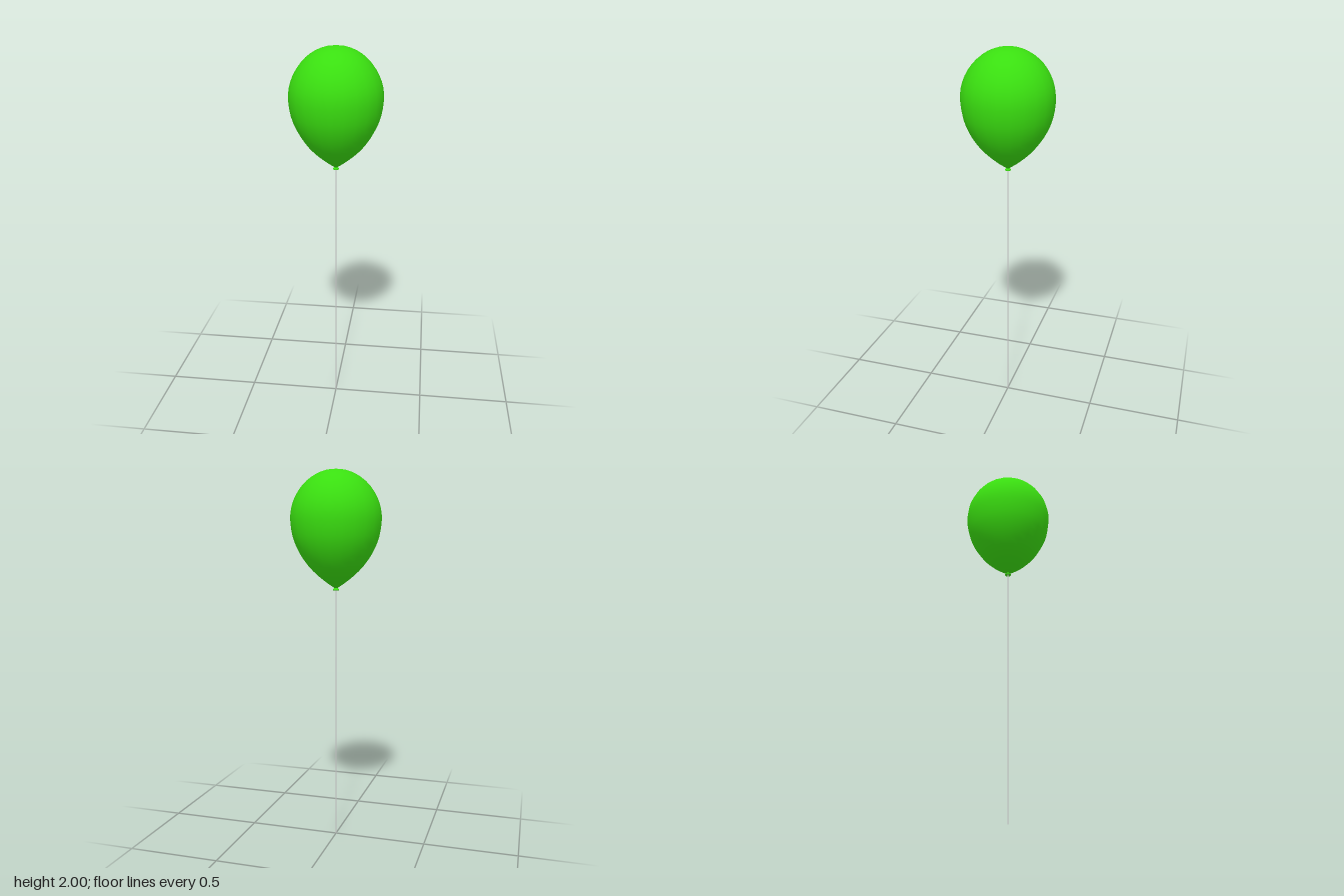
import * as THREE from 'three';

const SIDES = 23;

// Lathe a smooth curve through [radius, height] points, listed bottom to top
function turned(name, points, steps, material) {
  const curve = new THREE.SplineCurve(points.map(([r, y]) => new THREE.Vector2(r, y)));
  const profile = curve.getPoints(steps);
  profile.forEach((p) => { p.x = Math.max(p.x, 0); });
  const mesh = new THREE.Mesh(new THREE.LatheGeometry(profile, SIDES), material);
  mesh.name = name;
  return mesh;
}

export function createModel() {
  const model = new THREE.Group();
  model.name = 'balloonOnString';
  const rubber = new THREE.MeshStandardMaterial({ color: 0x3adf10, side: THREE.DoubleSide });
  const grey = new THREE.MeshStandardMaterial({ color: 0xcccccc });

  // Inflated body: rounded crown tapering to a soft point
  model.add(turned('balloonBody', [
    [0.007, 1.386], [0.05, 1.415], [0.105, 1.46], [0.152, 1.51], [0.195, 1.575],
    [0.226, 1.65], [0.239, 1.735], [0.233, 1.805], [0.208, 1.87], [0.166, 1.928],
    [0.112, 1.97], [0.056, 1.993], [0, 2],
  ], 26, rubber));

  // Flared lip below the tied neck
  model.add(turned('balloonKnot', [
    [0.002, 1.378], [0.014, 1.374], [0.017, 1.378], [0.012, 1.383], [0.007, 1.39],
  ], 8, rubber));

  // Straight string down to the ground
  const string = new THREE.Mesh(new THREE.CylinderGeometry(0.003, 0.003, 1.38, 8), grey);
  string.name = 'string';
  string.position.y = 0.69;
  model.add(string);

  // Centre the odd-sided outline front to back
  model.position.z = -0.001;
  return model;
}
